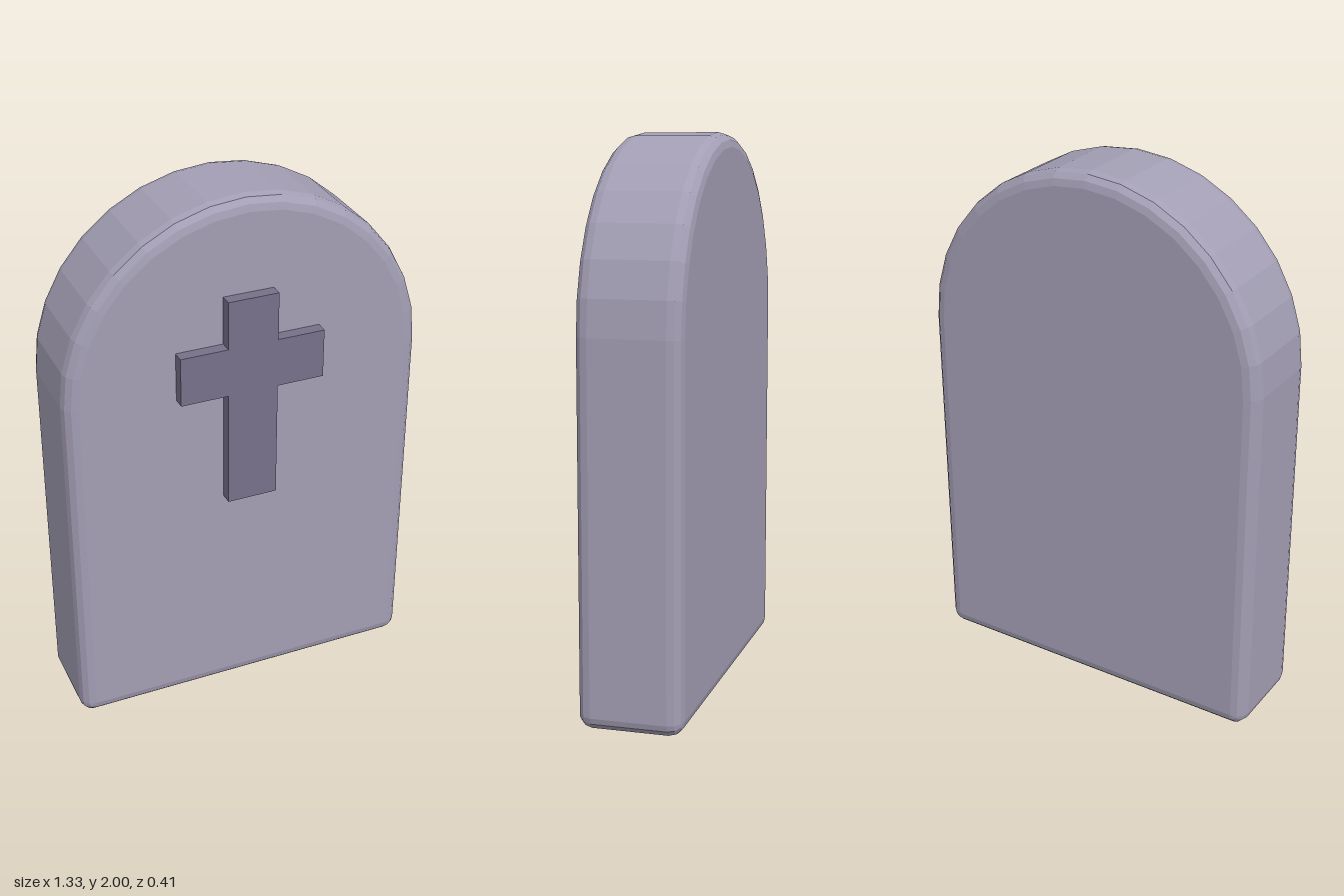
import * as THREE from 'three';

export function createModel() {
  const model = new THREE.Group();
  const stone = new THREE.MeshStandardMaterial({ color: 0xa39eb4, flatShading: true });
  stone.name = 'pale stone';
  const darkStone = new THREE.MeshStandardMaterial({ color: 0x777189, flatShading: true });
  darkStone.name = 'dark stone';

  // Slab outline, inset by the bevel: tiny rounded bottom corners and a round top
  const bevel = 0.05, halfWidth = 0.665, inner = halfWidth - bevel, r = 0.004;
  const points = [];
  const arc = (cx, cy, radius, from, to, steps) => {
    for (let i = 0; i <= steps; i++) {
      const a = from + (to - from) * i / steps;
      points.push(new THREE.Vector2(cx + radius * Math.cos(a), cy + radius * Math.sin(a)));
    }
  };
  arc(-inner + r, bevel + r, r, Math.PI, Math.PI * 1.5, 3);
  arc(inner - r, bevel + r, r, -Math.PI / 2, 0, 3);
  arc(0, 2 - halfWidth, inner, 0, Math.PI, 16);

  const back = -0.207, front = 0.162;
  const slabGeometry = new THREE.ExtrudeGeometry(new THREE.Shape(points), {
    depth: front - back - 2 * bevel,
    bevelSize: bevel, bevelThickness: bevel, bevelSegments: 3,
  });
  slabGeometry.translate(0, 0, back + bevel);
  const slab = new THREE.Mesh(slabGeometry, stone);
  slab.name = 'slab';
  model.add(slab);

  // Raised cross on the front face
  const w = 0.093, arm = 0.267;
  const right = [[w, 0.86], [w, 1.3], [arm, 1.3], [arm, 1.482], [w, 1.482], [w, 1.66]];
  const left = right.map(([x, y]) => [-x, y]).reverse();
  const outline = [...right, ...left].map(([x, y]) => new THREE.Vector2(x, y));
  const crossGeometry = new THREE.ExtrudeGeometry(new THREE.Shape(outline), {
    depth: 0.057, bevelEnabled: false,
  });
  crossGeometry.translate(0, 0, 0.15);
  const cross = new THREE.Mesh(crossGeometry, darkStone);
  cross.name = 'cross';
  model.add(cross);

  return model;
}
